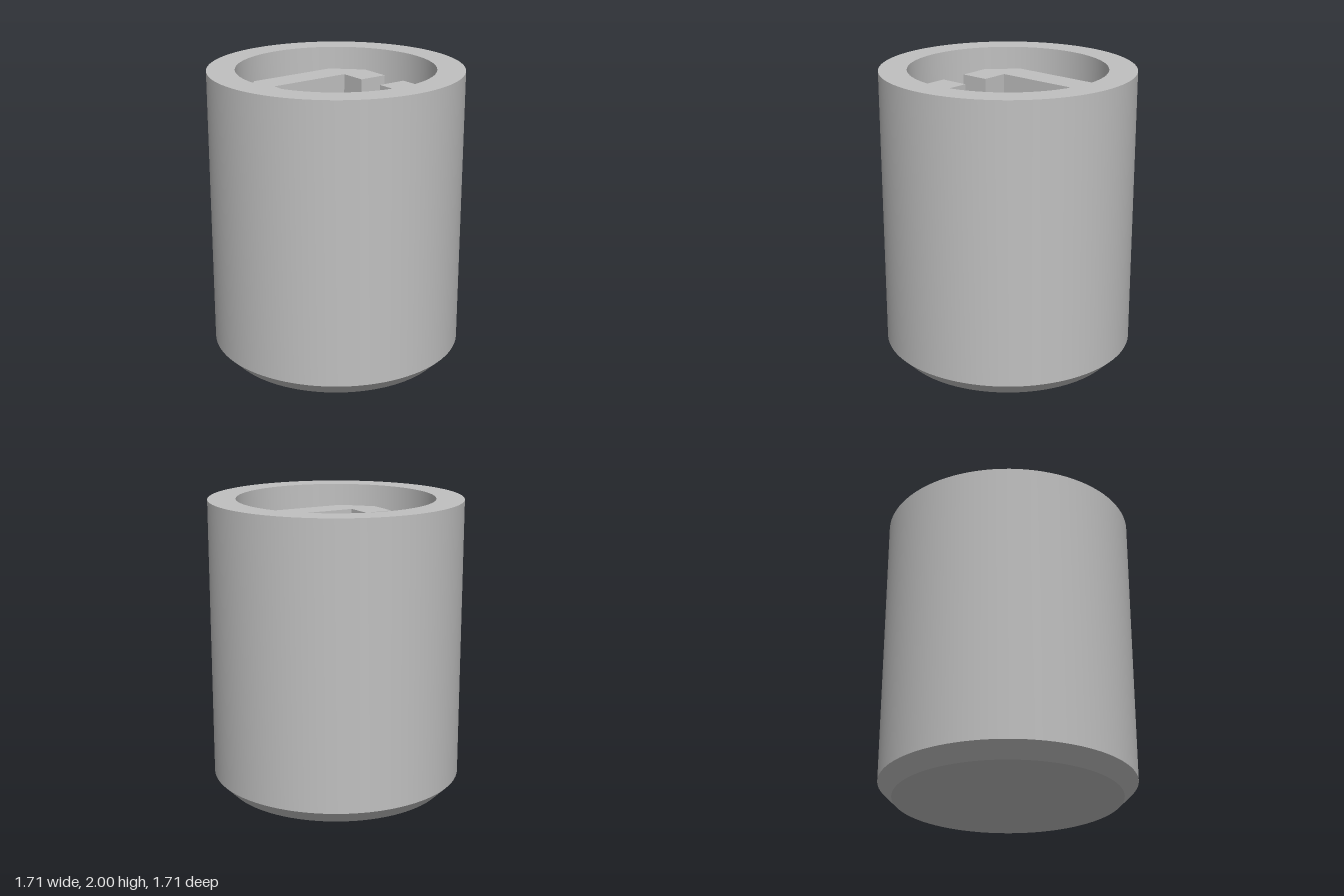
import * as THREE from 'three';
import { toCreasedNormals } from 'three/addons/utils/BufferGeometryUtils.js';

const FLOOR = 1.0;      // bottom of the round recess
const SLOT_FLOOR = 1.4; // bottom of the side slots
const SOCKET_TOP = 1.86;

const toShape = (pts) => new THREE.Shape(pts.map(([x, y]) => new THREE.Vector2(x, y)));

// Extrude a plan-view outline upward from y0 to y1
function slab(shape, y0, y1) {
  const geo = new THREE.ExtrudeGeometry(shape, { depth: y1 - y0, bevelEnabled: false });
  geo.rotateX(-Math.PI / 2);
  geo.translate(0, y0, 0);
  return geo;
}

export function createModel() {
  const group = new THREE.Group();
  const grey = new THREE.MeshStandardMaterial({ color: 0xc0c0c0 });
  grey.name = 'grey';

  const add = (name, geo) => {
    const mesh = new THREE.Mesh(geo, grey);
    mesh.name = name;
    group.add(mesh);
    return mesh;
  };

  // Round body: chamfered base, straight wall, flat rim, round recess
  const profile = [
    [0, 0], [0.76, 0], [0.855, 0.095], [0.855, 2],
    [0.667, 2], [0.667, FLOOR], [0, FLOOR],
  ].map(([x, y]) => new THREE.Vector2(x, y));
  add('body', toCreasedNormals(new THREE.LatheGeometry(profile, 96), 0.5));

  // Lower socket: octagon with a square hole, up to the slot floor
  const octagon = toShape([
    [0.5, -0.32], [0.5, 0.32], [0.32, 0.5], [-0.32, 0.5],
    [-0.5, 0.32], [-0.5, -0.32], [-0.32, -0.5], [0.32, -0.5],
  ]);
  octagon.holes.push(toShape([[-0.295, -0.295], [-0.295, 0.295], [0.295, 0.295], [0.295, -0.295]]));
  add('socketBase', slab(octagon, FLOOR, SLOT_FLOOR));

  // Upper socket: two facing jaws with a slot on each side
  const jaw = slab(toShape([
    [0.5, 0.1], [0.5, 0.32], [0.32, 0.5], [-0.32, 0.5], [-0.5, 0.32],
    [-0.5, 0.1], [-0.295, 0.1], [-0.295, 0.295], [0.295, 0.295], [0.295, 0.1],
  ]), SLOT_FLOOR, SOCKET_TOP);
  add('backJaw', jaw);
  add('frontJaw', jaw).rotation.y = Math.PI;

  return group;
}
